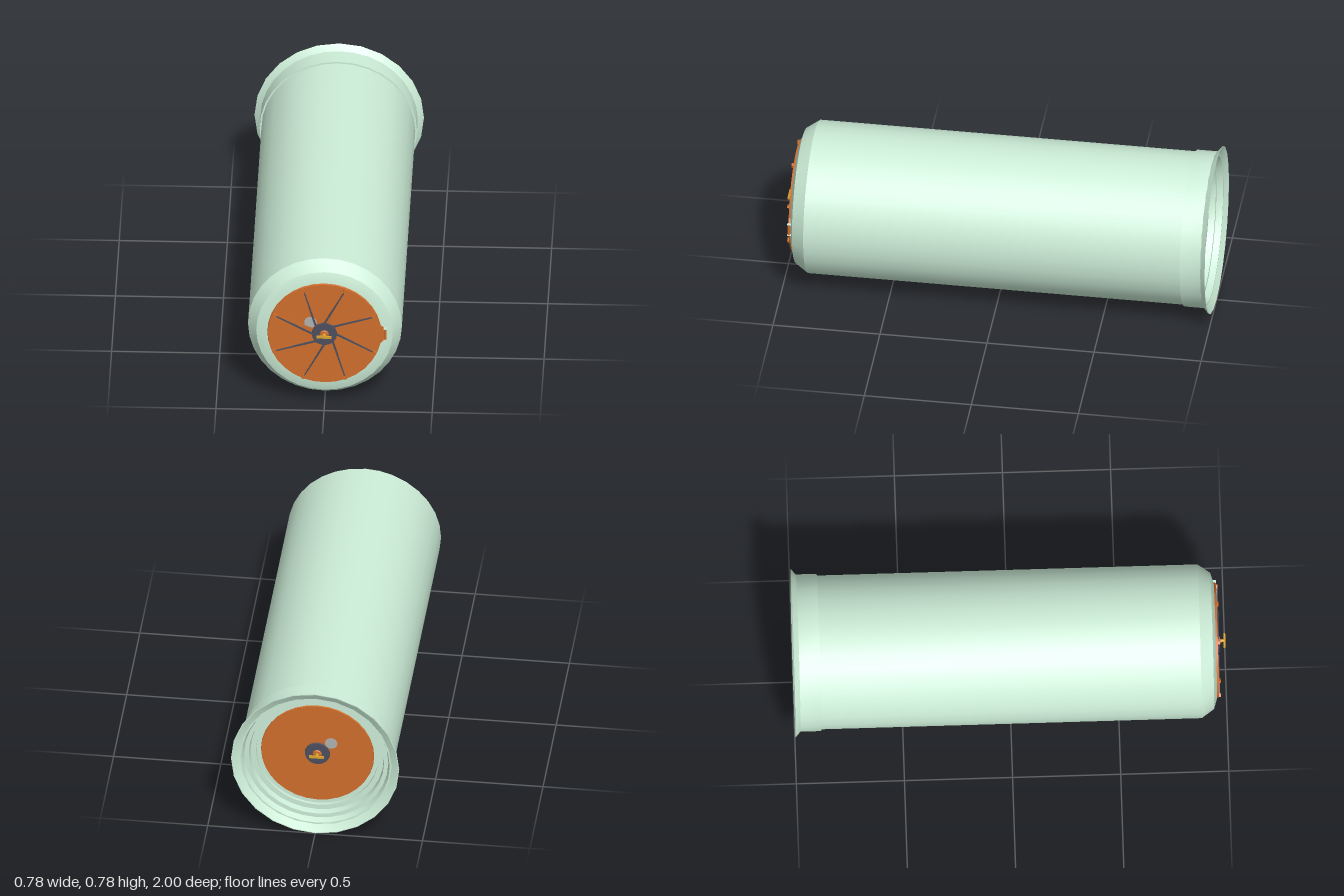
import * as THREE from 'three';
import { toCreasedNormals } from 'three/addons/utils/BufferGeometryUtils.js';

const AXIS_Y = 0.395;
const paint = (color, side = THREE.FrontSide) => new THREE.MeshStandardMaterial({ color, side });
const shell = paint(0xcdeed8, THREE.DoubleSide);
const orange = paint(0xd06e2c);
const dark = paint(0x4c505e);
const gold = paint(0xd9a02c);
const glass = paint(0xb0b2b2);

function add(parent, name, geometry, material, x = 0, y = 0, z = 0) {
  const mesh = new THREE.Mesh(geometry, material);
  mesh.name = name;
  mesh.position.set(x, y, z);
  parent.add(mesh);
  return mesh;
}

// Profile of [radius, z] pairs turned around the z axis
function turned(profile, sides) {
  const geo = new THREE.LatheGeometry(profile.map(([r, z]) => new THREE.Vector2(r, z)), sides);
  return toCreasedNormals(geo.rotateX(Math.PI / 2), 0.4);
}

// Disc or cone lying along z, from z = 0 to z = depth
function disc(rBack, rFront, depth, sides = 32) {
  return new THREE.CylinderGeometry(rFront, rBack, depth, sides)
    .rotateX(Math.PI / 2).translate(0, 0, depth / 2);
}

// Thin tapered bar between two points of the hatch plane
function bar(parent, name, material, from, to, z, wide, narrow, depth) {
  const a = new THREE.Vector2(...from), b = new THREE.Vector2(...to);
  const length = a.distanceTo(b);
  const s = new THREE.Shape([
    new THREE.Vector2(0, -wide / 2), new THREE.Vector2(length, -narrow / 2),
    new THREE.Vector2(length, narrow / 2), new THREE.Vector2(0, wide / 2),
  ]);
  const geo = new THREE.ExtrudeGeometry(s, { depth, bevelEnabled: false });
  const mesh = add(parent, name, geo, material, a.x, a.y, z);
  mesh.rotation.z = Math.atan2(b.y - a.y, b.x - a.x);
}

const polar = (r, angle) => [r * Math.cos(angle), r * Math.sin(angle)];

// Hatch facing local +z
function createHatch(name, windowX, outside) {
  const hatch = new THREE.Group();
  hatch.name = name;
  add(hatch, 'hatchPlate', disc(0.265, 0.262, 0.012), orange);
  add(hatch, 'hatchWindow', disc(0.029, 0.029, 0.002, 24), glass, windowX, 0.06, 0.0115);
  add(hatch, 'hub', disc(0.059, 0.057, 0.009), dark, 0, 0, 0.011);
  add(hatch, 'hubKnob', disc(0.022, 0.018, 0.006, 16), orange, 0, 0, 0.02);
  add(hatch, 'handlePost', disc(0.009, 0.006, 0.02, 12), gold, 0, 0, 0.025);
  add(hatch, 'handleBar', new THREE.BoxGeometry(0.07, 0.011, 0.009), gold, 0, 0, 0.0455);
  if (!outside) return hatch;

  // Radial ribs, slanted locking rods and their end brackets
  for (let i = 0; i < 8; i++) {
    const angle = (i + 0.5) * Math.PI / 4;
    bar(hatch, 'rib', orange, polar(0.055, angle), polar(0.25, angle), 0.011, 0.014, 0.01, 0.003);
    bar(hatch, 'lockingRod', dark, polar(0.055, angle + Math.PI / 8), polar(0.252, angle),
      0.013, 0.009, 0.004, 0.006);
    bar(hatch, 'rodBracket', orange, polar(0.241, angle), polar(0.26, angle), 0.011, 0.014, 0.014, 0.01);
  }

  // Hinge on the side of the plate
  const lug = new THREE.Shape([
    new THREE.Vector2(0.25, -0.055), new THREE.Vector2(0.262, -0.045), new THREE.Vector2(0.28, -0.026),
    new THREE.Vector2(0.28, 0.026), new THREE.Vector2(0.262, 0.045), new THREE.Vector2(0.25, 0.055),
  ]);
  add(hatch, 'hingeLug', new THREE.ExtrudeGeometry(lug, { depth: 0.011, bevelEnabled: false }), orange);
  add(hatch, 'hingePin', new THREE.CylinderGeometry(0.006, 0.006, 0.056, 12), orange, 0.281, 0, 0.008);
  for (const y of [-0.029, 0.029]) {
    add(hatch, 'hingeCap', new THREE.BoxGeometry(0.014, 0.004, 0.02), shell, 0.281, y, 0.005);
  }
  return hatch;
}

export function createModel() {
  const model = new THREE.Group();
  model.name = 'airlockModule';

  // Hull: stepped rear recess, rear collar, long tube and bevelled nose
  add(model, 'hull', turned([
    [0.255, -0.905], [0.285, -0.905], [0.285, -0.92], [0.31, -0.92], [0.315, -0.95],
    [0.335, -0.95], [0.345, -0.98], [0.364, -0.98], [0.364, -0.88], [0.356, -0.88],
    [0.356, 0.88], [0.316, 0.938], [0.268, 0.953], [0.255, 0.953],
  ], 32), shell, 0, AXIS_Y);

  // Flared docking flange
  add(model, 'dockingFlange', turned([
    [0.345, -0.975], [0.388, -1], [0.392, -1], [0.364, -0.975],
  ], 24), shell, 0, AXIS_Y);

  const front = createHatch('frontHatch', -0.064, true);
  front.position.set(0, AXIS_Y, 0.95);
  const rear = createHatch('rearHatch', 0.064, false);
  rear.position.set(0, AXIS_Y, -0.9);
  rear.rotation.y = Math.PI;
  model.add(front, rear);
  return model;
}
